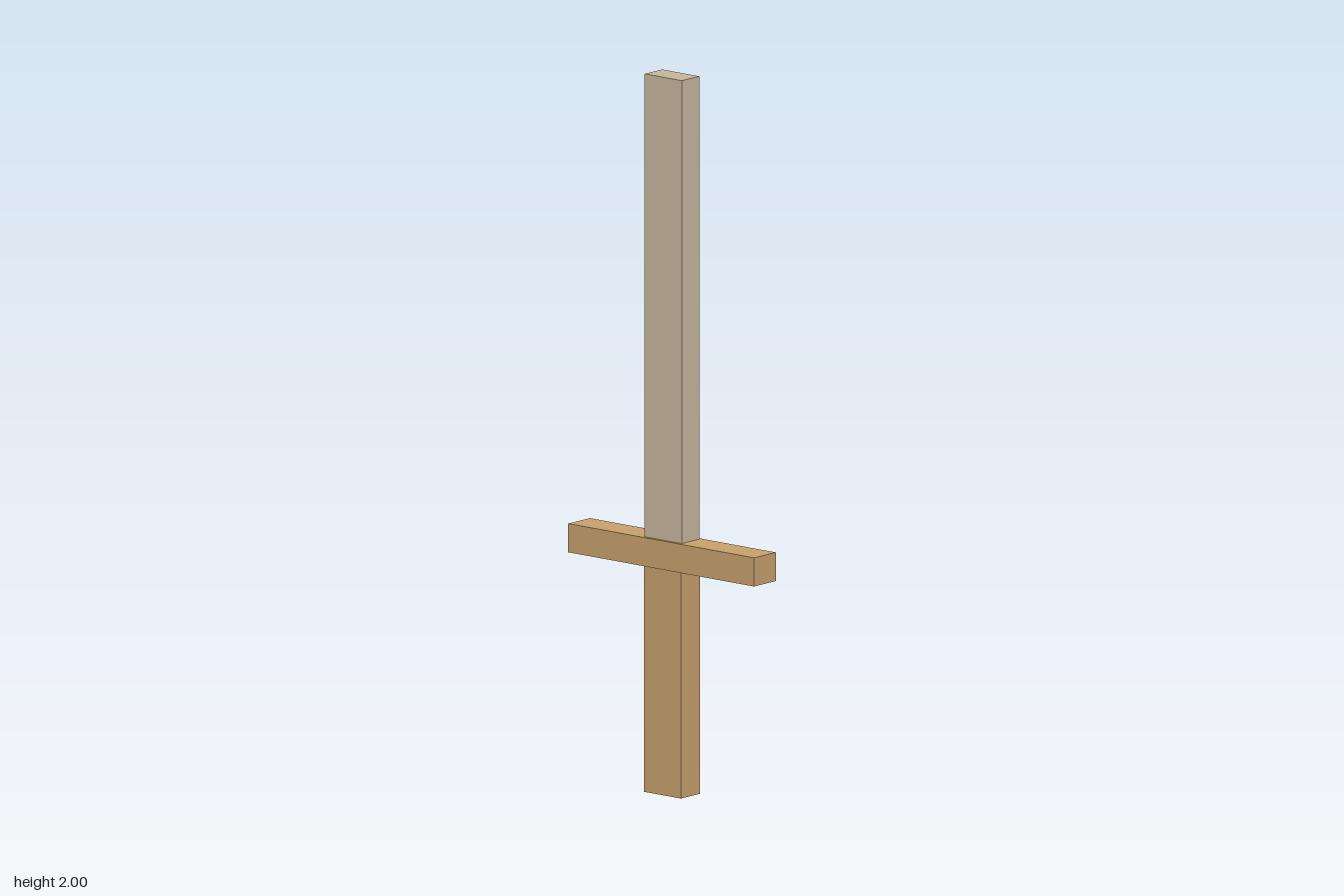
import * as THREE from 'three';

export function createModel() {
  const group = new THREE.Group();
  const wood = new THREE.MeshStandardMaterial({ color: 0xc9a26d });
  wood.name = 'warm wood';
  const paleWood = new THREE.MeshStandardMaterial({ color: 0xc8b79e });
  paleWood.name = 'pale wood';

  // A centred box beam spanning from y0 to y1
  const beam = (name, width, y0, y1, depth, material) => {
    const mesh = new THREE.Mesh(new THREE.BoxGeometry(width, y1 - y0, depth), material);
    mesh.name = name;
    mesh.position.y = (y0 + y1) / 2;
    group.add(mesh);
  };

  beam('grip', 0.133, 0, 0.63, 0.08, wood);
  beam('crossguard', 0.667, 0.63, 0.71, 0.091, wood);
  beam('blade', 0.133, 0.71, 2, 0.073, paleWood);

  return group;
}
